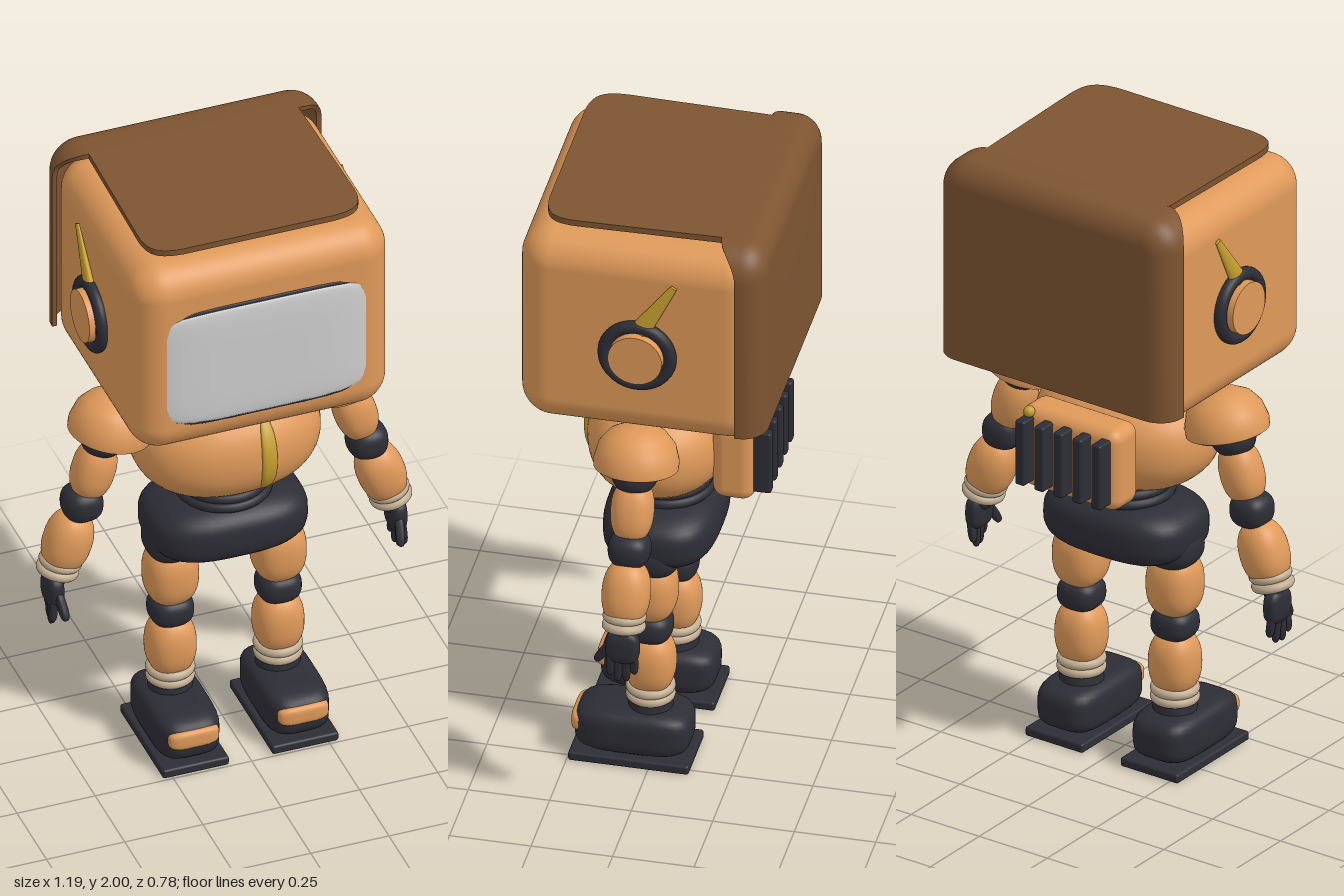
import * as THREE from 'three';
import { mergeVertices, toCreasedNormals } from 'three/addons/utils/BufferGeometryUtils.js';
import { RoundedBoxGeometry } from 'three/addons/geometries/RoundedBoxGeometry.js';

const material = (name, color, side = THREE.FrontSide) => {
  const m = new THREE.MeshStandardMaterial({ color, side });
  m.name = name;
  return m;
};

// Superellipsoid with half sizes a, b, c; n = 2 is round, higher is boxier. bend(x, y) shifts z.
function blob(a, b, c, n = 2, bend = null) {
  let g = new THREE.SphereGeometry(1, 48, 32);
  g.deleteAttribute('uv');
  g.deleteAttribute('normal');
  g = mergeVertices(g);
  const p = g.attributes.position;
  for (let i = 0; i < p.count; i++) {
    const v = [p.getX(i), p.getY(i), p.getZ(i)];
    const k = Math.pow(v.reduce((s, e) => s + Math.abs(e) ** n, 0), -1 / n);
    const x = v[0] * k * a, y = v[1] * k * b;
    p.setXYZ(i, x, y, v[2] * k * c + (bend ? bend(x, y) : 0));
  }
  g.computeVertexNormals();
  return g;
}

// Hollow cover wrapped around the back, sides and top of the head, open below
function backCover() {
  const W = 0.43, T = 2, bottom = 1.345, R = 0.1, steps = 10;
  const path = [{ a: 0, low: true }];
  for (const start of [0, 90])
    for (let i = 0; i <= steps; i++) path.push({ a: start + 90 * i / steps, right: start === 0 });
  path.push({ a: 180, low: true });
  path[0].right = true;
  const profile = [[0, null], [0, -0.31]];
  for (let i = 1; i <= 8; i++) {
    const t = i / 8 * Math.PI / 2;
    profile.push([0.08 * (1 - Math.cos(t)), -0.31 - 0.078 * Math.sin(t)]);
  }
  profile.push([W, -0.388], [W, -0.372]);
  for (let i = 8; i >= 0; i--) {
    const t = i / 8 * Math.PI / 2;
    profile.push([0.016 + 0.064 * (1 - Math.cos(t)), -0.31 - 0.062 * Math.sin(t)]);
  }
  profile.push([0.016, null], [0, null]);
  const pos = [], index = [], m = profile.length;
  for (const { a, low, right } of path) {
    const t = a * Math.PI / 180;
    const front = -0.3 + 0.06 * Math.sin(t) ** 2;
    for (const [s, z] of profile) {
      const d = Math.max(s, R), r = Math.max(R - s, 0);
      pos.push((right ? 1 : -1) * (W - d) + r * Math.cos(t),
        low ? bottom : T - d + r * Math.sin(t), z ?? front);
    }
  }
  for (let i = 0; i < path.length - 1; i++)
    for (let j = 0; j < m - 1; j++) {
      const k = i * m + j;
      index.push(k, k + 1, k + m, k + 1, k + m + 1, k + m);
    }
  const g = new THREE.BufferGeometry();
  g.setAttribute('position', new THREE.Float32BufferAttribute(pos, 3));
  g.setIndex(index);
  // turn the faces outward
  for (let i = 0; i < index.length; i += 3) [index[i], index[i + 1]] = [index[i + 1], index[i]];
  g.setIndex(index);
  return toCreasedNormals(g, 0.7);
}

export function createModel() {
  const root = new THREE.Group();
  root.name = 'robot';
  const orange = material('orange shell', 0xdf9959);
  const brown = material('brown cover', 0x7d5431, THREE.DoubleSide);
  const dark = material('dark joints', 0x2d2d36);
  const grey = material('visor grey', 0xcfcfcf);
  const gold = material('gold trim', 0xc79f30);
  const cream = material('cream rings', 0xc2ad92);

  const add = (name, geo, mat, x = 0, y = 0, z = 0, parent = root) => {
    const mesh = new THREE.Mesh(geo, mat);
    mesh.name = name;
    mesh.position.set(x, y, z);
    parent.add(mesh);
    return mesh;
  };
  const up = new THREE.Vector3(0, 1, 0);
  const aim = (mesh, dir) => mesh.quaternion.setFromUnitVectors(up, dir.clone().normalize());
  // Barrel-shaped limb segment between two points
  const limb = (name, mat, p, q, r, n = 2.4, parent = root) => {
    const A = new THREE.Vector3(...p), B = new THREE.Vector3(...q);
    const c = A.clone().add(B).multiplyScalar(0.5);
    const mesh = add(name, blob(r, A.distanceTo(B) / 2, r, n), mat, c.x, c.y, c.z, parent);
    aim(mesh, B.sub(A));
    return mesh;
  };
  const ring = (r, t) => new THREE.TorusGeometry(r, t, 14, 40).rotateX(Math.PI / 2);

  // Head, cover and visor
  add('head', new RoundedBoxGeometry(0.82, 0.665, 0.735, 8, 0.1), orange, 0, 1.6225, 0.0075);
  add('backCover', backCover(), brown);
  const s = new THREE.Shape();
  s.moveTo(-0.335, 0.245);
  s.lineTo(-0.345, -0.2);
  s.bezierCurveTo(-0.345, -0.28, -0.32, -0.305, -0.24, -0.31);
  s.lineTo(0.24, -0.31);
  s.bezierCurveTo(0.32, -0.305, 0.345, -0.28, 0.345, -0.2);
  s.lineTo(0.335, 0.245);
  const plate = new THREE.ExtrudeGeometry(s, { depth: 0.02, bevelEnabled: false, curveSegments: 10 });
  add('topCover', plate.rotateX(-Math.PI / 2), brown, 0, 1.98, 0);
  const wrap = x => -0.035 * Math.abs(x / 0.37) ** 6;
  add('visorRim', blob(0.382, 0.209, 0.012, 5, wrap), dark, 0, 1.597, 0.372);
  add('visor', blob(0.373, 0.2, 0.016, 5, wrap), grey, 0, 1.597, 0.375);

  // Torso with its curved front strip
  add('neck', new THREE.CylinderGeometry(0.105, 0.11, 0.1, 32), dark, 0, 1.265, 0);
  const tn = 2.25, [ta, tb, tc] = [0.293, 0.182, 0.22];
  add('torso', blob(ta, tb, tc, tn), orange, 0, 1.077, 0.015);
  const torsoZ = (x, y) =>
    tc * Math.max(0, 1 - Math.abs((x + 0.065) / ta) ** tn - Math.abs(y / tb) ** tn) ** (1 / tn);
  add('frontStrip', blob(0.025, 0.132, 0.012, 2.6, torsoZ), gold, 0.065, 1.08, 0.015);

  // Waist and pelvis
  add('waist', new THREE.CylinderGeometry(0.125, 0.125, 0.1, 32), dark, 0, 0.88, 0.005);
  for (const [y, r] of [[0.895, 0.125], [0.87, 0.135]]) add('waistRing', ring(r, 0.016), dark, 0, y, 0.005);
  add('pelvis', blob(0.25, 0.1, 0.175, 3), dark, 0, 0.768, 0.005);

  // Backpack with cooling fins and a knob
  add('backpack', new RoundedBoxGeometry(0.36, 0.27, 0.13, 6, 0.04), orange, 0, 1.075, -0.235);
  for (let i = -2; i <= 2; i++)
    add('backpackFin', new RoundedBoxGeometry(0.035, 0.215, 0.06, 3, 0.008), dark, i * 0.07, 1.078, -0.32);
  add('backpackKnob', new THREE.SphereGeometry(0.018, 20, 14), gold, 0.14, 1.198, -0.298);

  for (const side of [1, -1]) {
    const label = side > 0 ? 'left' : 'right';
    const group = name => {
      const g = new THREE.Group();
      g.name = label + name;
      root.add(g);
      return g;
    };
    // Ear with antenna
    const ear = group('Ear');
    const earRing = add('earRing', new THREE.TorusGeometry(0.101, 0.02, 16, 48), dark, side * 0.421, 1.595, 0, ear);
    earRing.rotation.y = Math.PI / 2;
    const disc = add('earDisc', new THREE.CylinderGeometry(0.083, 0.083, 0.06, 40), orange, side * 0.425, 1.595, 0, ear);
    disc.rotation.z = Math.PI / 2;
    const antenna = add('antenna', new THREE.CylinderGeometry(0.011, 0.032, 0.2, 20).scale(0.5, 1, 1),
      gold, side * 0.421, 1.768, -0.06, ear);
    antenna.rotation.x = -0.55;

    // Arm
    const arm = group('Arm');
    const z = 0.015;
    const dome = new THREE.LatheGeometry(
      [[0, 0], [0.118, 0], [0.128, 0.006], [0.129, 0.03], [0.117, 0.075], [0.09, 0.11], [0.05, 0.132], [0, 0.138]]
        .map(p => new THREE.Vector2(...p)), 40);
    add('shoulderPad', toCreasedNormals(dome, 0.9), orange, side * 0.368, 1.152, z, arm).rotation.z = side * 0.2;
    add('shoulderJoint', blob(0.07, 0.06, 0.07), dark, side * 0.385, 1.14, z, arm);
    limb('upperArm', orange, [side * 0.388, 1.13, z], [side * 0.447, 0.935, z], 0.065, 2.3, arm);
    add('elbow', blob(0.062, 0.056, 0.064, 2.6), dark, side * 0.455, 0.92, z, arm);
    limb('forearm', orange, [side * 0.468, 0.89, z], [side * 0.532, 0.69, z], 0.073, 2.3, arm);
    const down = new THREE.Vector3(-side * 0.25, 1, 0);
    for (const [x, y] of [[0.523, 0.72], [0.532, 0.692]])
      aim(add('wristRing', ring(0.051, 0.0155), cream, side * x, y, z, arm), down);
    limb('wrist', dark, [side * 0.53, 0.71, z], [side * 0.545, 0.63, z], 0.032, 2.5, arm);
    add('palm', blob(0.028, 0.055, 0.052, 3), dark, side * 0.548, 0.625, z, arm);
    [0.05, 0.027, 0.003, -0.02].forEach((fz, i) => {
      const tip = [0.527, 0.505, 0.505, 0.53][i];
      limb('finger', dark, [side * 0.555, 0.61, fz], [side * (0.562 - i * 0.006), tip, fz], 0.0125, 3, arm);
    });
    limb('thumb', dark, [side * 0.545, 0.635, 0.05], [side * 0.535, 0.555, 0.1], 0.014, 3, arm);

    // Leg
    const leg = group('Leg'), x = side * 0.172;
    add('hipJoint', blob(0.082, 0.07, 0.09, 2.5), dark, x, 0.72, 0.012, leg);
    limb('thigh', orange, [x, 0.7, z], [x, 0.485, z], 0.083, 2.5, leg);
    add('knee', blob(0.068, 0.052, 0.068, 2.7), dark, x, 0.46, z, leg);
    limb('shin', orange, [x, 0.435, z], [x, 0.225, z], 0.077, 2.4, leg);
    for (const y of [0.242, 0.214]) add('ankleRing', ring(0.06, 0.0155), cream, x, y, z, leg);
    add('ankle', new THREE.CylinderGeometry(0.06, 0.075, 0.08, 32), dark, x, 0.18, z, leg);
    const foot = side * 0.175;
    add('boot', blob(0.102, 0.075, 0.177, 4), dark, foot, 0.104, 0.062, leg);
    add('toeCap', blob(0.08, 0.032, 0.035, 4), orange, foot, 0.12, 0.212, leg);
    add('sole', new RoundedBoxGeometry(0.212, 0.03, 0.37, 3, 0.008), dark, foot, 0.017, 0.06, leg);
  }
  // stand on the ground
  root.position.y = -0.002;
  return root;
}
